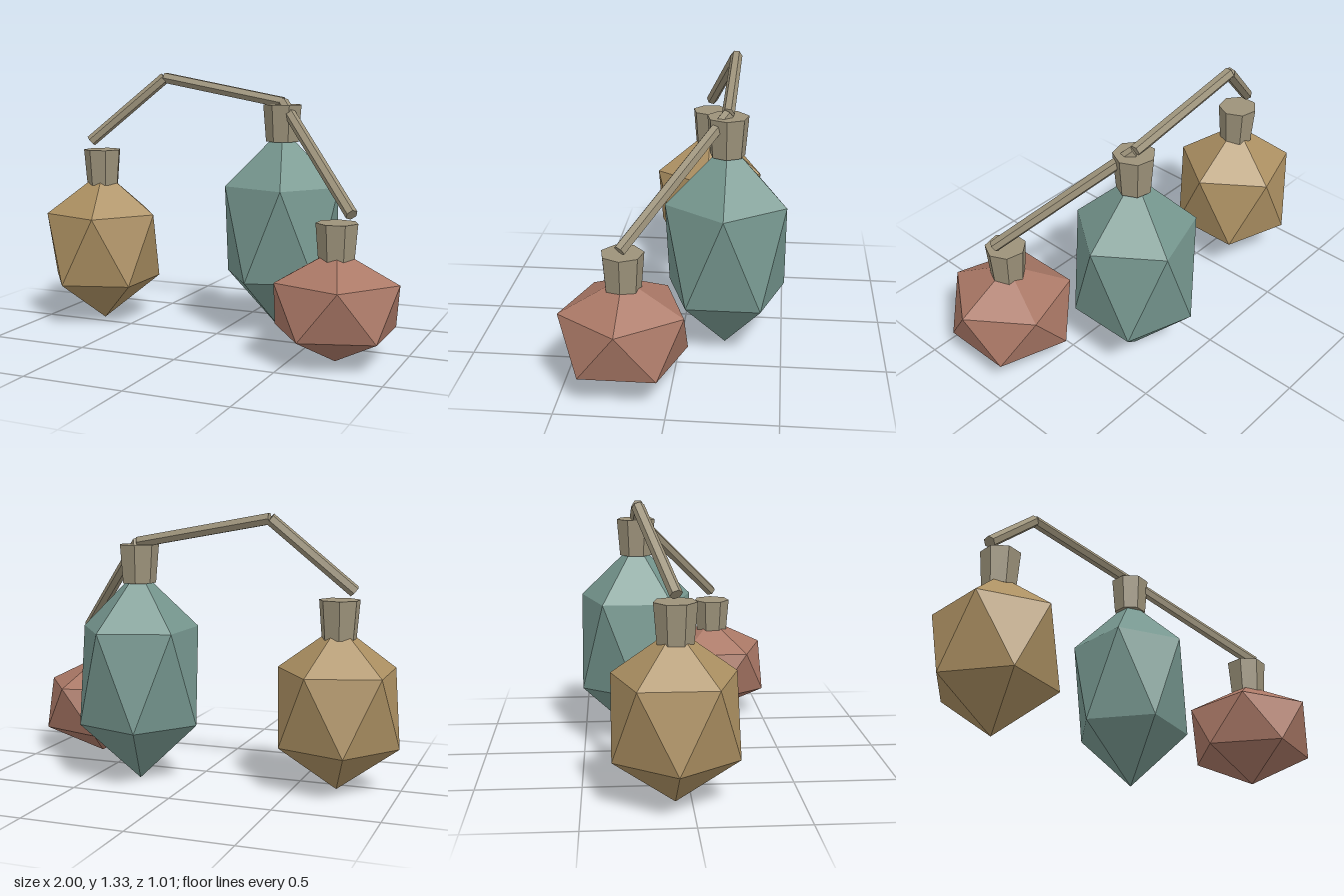
import * as THREE from 'three';

const flat = (name, color) => {
  const m = new THREE.MeshStandardMaterial({ color, flatShading: true });
  m.name = name;
  return m;
};

export function createModel() {
  const group = new THREE.Group();
  const ochre = flat('ochre', 0xac9062);
  const teal = flat('teal', 0x76978f);
  const red = flat('clay red', 0xaa7866);
  const straw = flat('straw', 0x9c927a);

  const add = (name, geometry, material, parent = group) => {
    const mesh = new THREE.Mesh(geometry, material);
    mesh.name = name;
    parent.add(mesh);
    return mesh;
  };

  // Icosahedron turned so that one corner points straight up
  const tilt = -Math.atan(2 / (1 + Math.sqrt(5)));
  const bodyGeometry = new THREE.IcosahedronGeometry(1, 0).rotateZ(tilt);

  // Seven-sided neck that widens upwards, one corner towards +x
  const neckHeight = 0.187;
  const neckGeometry = new THREE.CylinderGeometry(0.1, 0.0845, neckHeight, 7).rotateY(Math.PI / 2);

  // Gourd: faceted body standing on its tip, with a neck on top
  const gourd = (name, material, x, z, height, neckTop) => {
    const g = new THREE.Group();
    g.name = name;
    g.position.set(x, 0, z);
    const body = add(name + 'Body', bodyGeometry, material, g);
    body.scale.set(0.336, height / 2, 0.336);
    body.position.y = height / 2;
    add(name + 'Neck', neckGeometry, straw, g).position.y = neckTop - neckHeight / 2;
    group.add(g);
  };
  gourd('ochreGourd', ochre, -0.7, -0.075, 0.805, 0.92);
  gourd('tealGourd', teal, 0.27, -0.22, 1.05, 1.17);
  gourd('redGourd', red, 0.7, 0.22, 0.535, 0.655);

  // Cord: straight hexagonal rods between the points of a path
  const cord = [
    [-0.77, 0.962, -0.075],
    [-0.4, 1.3, -0.225],
    [0.27, 1.18, -0.22],
    [0.768, 0.695, 0.22],
  ].map((p) => new THREE.Vector3(...p));
  const up = new THREE.Vector3(0, 1, 0);
  for (let i = 0; i < cord.length - 1; i++) {
    const dir = cord[i + 1].clone().sub(cord[i]);
    const rod = add('cordSegment' + (i + 1), new THREE.CylinderGeometry(0.03, 0.03, dir.length(), 6), straw);
    rod.position.copy(cord[i]).addScaledVector(dir, 0.5);
    rod.quaternion.setFromUnitVectors(up, dir.normalize());
  }
  return group;
}
